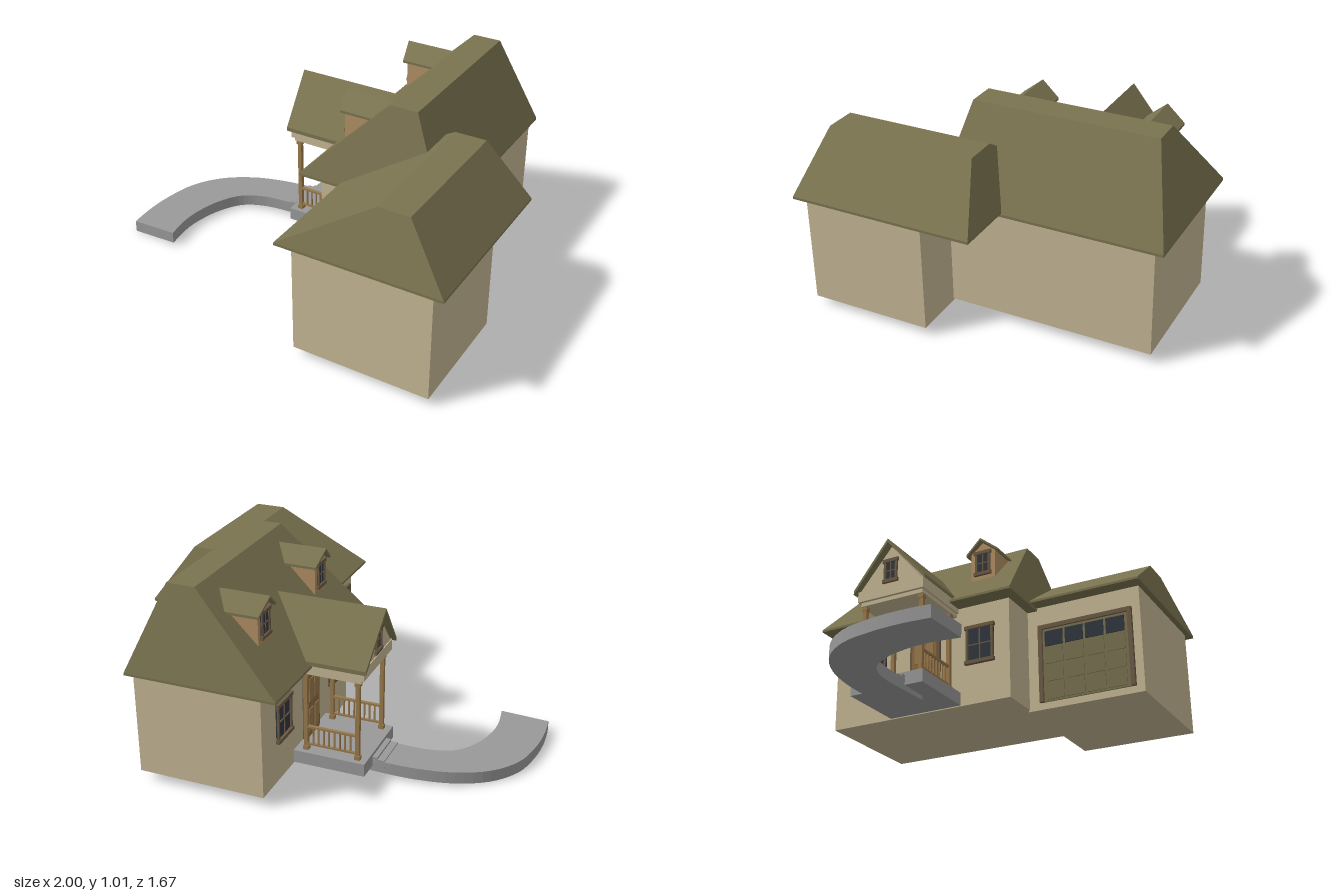
import * as THREE from 'three';

const mat = (color) => new THREE.MeshStandardMaterial({ color, flatShading: true });
const M = {
  wall: mat(0xc4b694), roof: mat(0x7a7350), stone: mat(0x999999), wood: mat(0x9a7a4c),
  dormer: mat(0xb08f63), trim: mat(0x6b5a45), glass: mat(0x30363f), door: mat(0x8a6c42), panel: mat(0x77704f),
};

function add(parent, name, geometry, material) {
  const mesh = new THREE.Mesh(geometry, material);
  mesh.name = name;
  parent.add(mesh);
  return mesh;
}

// Box given by its extents
function box(parent, name, material, x0, x1, y0, y1, z0, z1) {
  const g = new THREE.BoxGeometry(x1 - x0, y1 - y0, z1 - z0);
  g.translate((x0 + x1) / 2, (y0 + y1) / 2, (z0 + z1) / 2);
  return add(parent, name, g, material);
}

// Six-sided solid from a lower and an upper ring of four corners
function solid(b, t) {
  const p = [b[0], b[1], b[2], b[0], b[2], b[3], t[0], t[2], t[1], t[0], t[3], t[2]];
  for (let i = 0; i < 4; i++) {
    const j = (i + 1) % 4;
    p.push(b[i], t[i], t[j], b[i], t[j], b[j]);
  }
  const g = new THREE.BufferGeometry();
  g.setAttribute('position', new THREE.Float32BufferAttribute(p.flat(), 3));
  g.computeVertexNormals();
  return g;
}
const ring = (x0, x1, z0, z1, y) => [[x0, y, z0], [x1, y, z0], [x1, y, z1], [x0, y, z1]];

// Hipped roof with a flat strip on top and a thin eave board
function hipRoof(parent, name, eave, ridge, y0, y1) {
  const lip = y0 + 0.012;
  add(parent, name, solid(ring(...eave, lip), ring(...ridge, y1)), M.roof);
  box(parent, name + 'Eave', M.roof, eave[0], eave[1], y0, lip, eave[2], eave[3]);
}

// Two pitched slabs whose ridge juts out further than the eaves
function gableRoof(parent, o) {
  for (const s of [-1, 1]) {
    const eave = { z: o.z + s * o.half, y: o.yEave, x0: o.xEave, x1: o.backEave };
    const ridge = { z: o.z, y: o.yRidge, x0: o.xRidge, x1: o.backRidge };
    const [p, q] = s < 0 ? [eave, ridge] : [ridge, eave];
    const corners = (d) => [[p.x0, p.y - d, p.z], [p.x1, p.y - d, p.z], [q.x1, q.y - d, q.z], [q.x0, q.y - d, q.z]];
    add(parent, 'gableRoof', solid(corners(o.thick), corners(0)), M.roof);
  }
}

// House-shaped prism running along x, with its gable facing -x
function gableBody(parent, name, material, x0, x1, z, half, y0, yEave, yRidge) {
  const s = new THREE.Shape();
  s.moveTo(-half, y0);
  s.lineTo(half, y0);
  s.lineTo(half, yEave);
  s.lineTo(0, yRidge);
  s.lineTo(-half, yEave);
  const g = new THREE.ExtrudeGeometry(s, { depth: x1 - x0, bevelEnabled: false });
  g.rotateY(Math.PI / 2).translate(x0, 0, z);
  add(parent, name, g, material);
}

// Framed window on a wall facing -x
function windowUnit(parent, x, z, w, y0, y1, d = 0.015) {
  const g = new THREE.Group();
  g.name = 'window';
  const f = 0.012, h = w / 2, ym = (y0 + y1) / 2;
  box(g, 'glass', M.glass, x - d * 0.4, x + 0.01, y0, y1, z - h, z + h);
  for (const s of [-1, 1]) {
    const c = z + s * (h - f / 2);
    box(g, 'windowSide', M.trim, x - d, x + 0.01, y0, y1, c - f / 2, c + f / 2);
  }
  box(g, 'sill', M.trim, x - d * 1.3, x + 0.01, y0 - 0.006, y0 + f, z - h - 0.006, z + h + 0.006);
  box(g, 'lintel', M.trim, x - d * 1.3, x + 0.01, y1 - f, y1 + 0.006, z - h - 0.006, z + h + 0.006);
  box(g, 'mullion', M.trim, x - d * 0.7, x, y0, y1, z - 0.003, z + 0.003);
  box(g, 'crossbar', M.trim, x - d * 0.7, x, ym - 0.003, ym + 0.003, z - h, z + h);
  parent.add(g);
}

function dormer(parent, z) {
  const g = new THREE.Group();
  g.name = 'dormer';
  gableBody(g, 'dormerWalls', M.dormer, 0.115, 0.3, z, 0.068, 0.73, 0.895, 0.95);
  gableRoof(g, { z, half: 0.09, yEave: 0.895, yRidge: 0.965, xEave: 0.1, xRidge: 0.083, backEave: 0.28, backRidge: 0.345, thick: 0.012 });
  windowUnit(g, 0.115, z, 0.085, 0.77, 0.895, 0.01);
  parent.add(g);
}

function porch(parent) {
  const g = new THREE.Group();
  g.name = 'porch';
  const zc = -0.257;
  box(g, 'porchFloor', M.stone, -0.31, 0.06, 0.055, 0.12, -0.455, -0.06);
  box(g, 'step', M.stone, -0.335, -0.3, 0.045, 0.103, -0.345, -0.155);
  box(g, 'lowerStep', M.stone, -0.37, -0.3, 0.04, 0.092, -0.345, -0.155);
  // Beams and gable
  box(g, 'beam', M.wall, -0.3, 0.06, 0.545, 0.6, zc - 0.185, zc + 0.185);
  box(g, 'lowerBeam', M.wall, -0.285, 0.06, 0.525, 0.545, zc - 0.175, zc + 0.175);
  gableBody(g, 'porchGable', M.wall, -0.295, 0.15, zc, 0.175, 0.59, 0.6, 0.81);
  gableRoof(g, { z: zc, half: 0.202, yEave: 0.605, yRidge: 0.838, xEave: -0.315, xRidge: -0.335, backEave: 0.01, backRidge: 0.23, thick: 0.02 });
  windowUnit(g, -0.295, zc, 0.075, 0.62, 0.735, 0.01);
  // Posts and side railings
  for (const s of [-1, 1]) {
    const z = zc + s * 0.16;
    for (const x of [-0.263, -0.002]) {
      box(g, 'post', M.wood, x - 0.01, x + 0.01, 0.12, 0.525, z - 0.01, z + 0.01);
      box(g, 'postBase', M.wood, x - 0.014, x + 0.014, 0.12, 0.14, z - 0.014, z + 0.014);
      box(g, 'postCapital', M.wood, x - 0.014, x + 0.014, 0.505, 0.525, z - 0.014, z + 0.014);
    }
    box(g, 'handrail', M.wood, -0.26, 0, 0.238, 0.248, z - 0.008, z + 0.008);
    box(g, 'bottomRail', M.wood, -0.26, 0, 0.145, 0.154, z - 0.006, z + 0.006);
    for (let i = 1; i <= 8; i++) {
      const x = -0.253 + i * 0.027;
      box(g, 'baluster', M.wood, x - 0.0035, x + 0.0035, 0.15, 0.24, z - 0.0035, z + 0.0035);
    }
  }
  // Front door
  box(g, 'doorFrame', M.trim, 0.035, 0.06, 0.12, 0.475, zc - 0.085, zc + 0.085);
  box(g, 'frontDoor', M.door, 0.03, 0.05, 0.12, 0.46, zc - 0.07, zc + 0.07);
  for (const s of [-1, 1]) for (const y of [0.15, 0.31]) {
    const z = zc + s * 0.032;
    box(g, 'doorPanel', M.wood, 0.026, 0.04, y, y + 0.12, z - 0.022, z + 0.022);
  }
  parent.add(g);
}

// Curving, gently sloping walkway
function walkway(parent) {
  const outer = [[-0.15, -0.345], [-0.36, -0.345], [-0.53, -0.33], [-0.7, -0.285], [-0.85, -0.195], [-0.95, -0.06], [-0.99, 0.1], [-1, 0.25], [-0.99, 0.385]];
  const inner = [[-0.745, 0.385], [-0.763, 0.26], [-0.757, 0.15], [-0.72, 0.02], [-0.65, -0.085], [-0.55, -0.135], [-0.42, -0.152], [-0.15, -0.155]];
  const smooth = (pts) => new THREE.SplineCurve(pts.map((p) => new THREE.Vector2(...p))).getPoints(32);
  const shape = new THREE.Shape([...smooth(outer), ...smooth(inner)]);
  const g = new THREE.ExtrudeGeometry(shape, { depth: 0.06, bevelEnabled: false });
  g.rotateX(Math.PI / 2).translate(0, 0.06, 0);
  const p = g.attributes.position;
  for (let i = 0; i < p.count; i++) p.setY(i, p.getY(i) + 0.04 * (p.getX(i) + 1));
  g.computeVertexNormals();
  add(parent, 'walkway', g, M.stone);
}

export function createModel() {
  const house = new THREE.Group();
  house.name = 'house';

  // Main block
  box(house, 'mainWalls', M.wall, 0.05, 0.69, 0.05, 0.575, -0.79, 0.21);
  hipRoof(house, 'mainRoof', [-0.045, 0.71, -0.835, 0.262], [0.38, 0.52, -0.73, 0.16], 0.57, 1.012);
  for (const z of [-0.565, 0.05]) windowUnit(house, 0.05, z, 0.15, 0.26, 0.45);
  for (const z of [-0.592, 0.035]) dormer(house, z);

  // Garage wing with its door on the -x side
  box(house, 'garageWalls', M.wall, 0.26, 0.94, 0.04, 0.59, 0.205, 0.805);
  hipRoof(house, 'garageRoof', [0.185, 0.998, -0.07, 0.832], [0.64, 0.795, 0.015, 0.745], 0.585, 0.88);
  box(house, 'garageDoor', M.panel, 0.253, 0.265, 0.075, 0.46, 0.28, 0.75);
  for (let i = 0; i < 4; i++) {
    const y = 0.085 + i * 0.093;
    for (let k = 0; k < 4; k++) {
      const z = 0.305 + k * 0.108;
      box(house, 'garagePanel', i === 3 ? M.glass : M.panel, 0.249, 0.26, y, y + 0.08, z, z + 0.095);
    }
  }
  for (const z of [0.27, 0.742]) box(house, 'garageDoorJamb', M.trim, 0.243, 0.265, 0.075, 0.48, z, z + 0.022);
  box(house, 'garageDoorLintel', M.trim, 0.243, 0.265, 0.458, 0.48, 0.27, 0.764);

  porch(house);
  walkway(house);
  return house;
}
